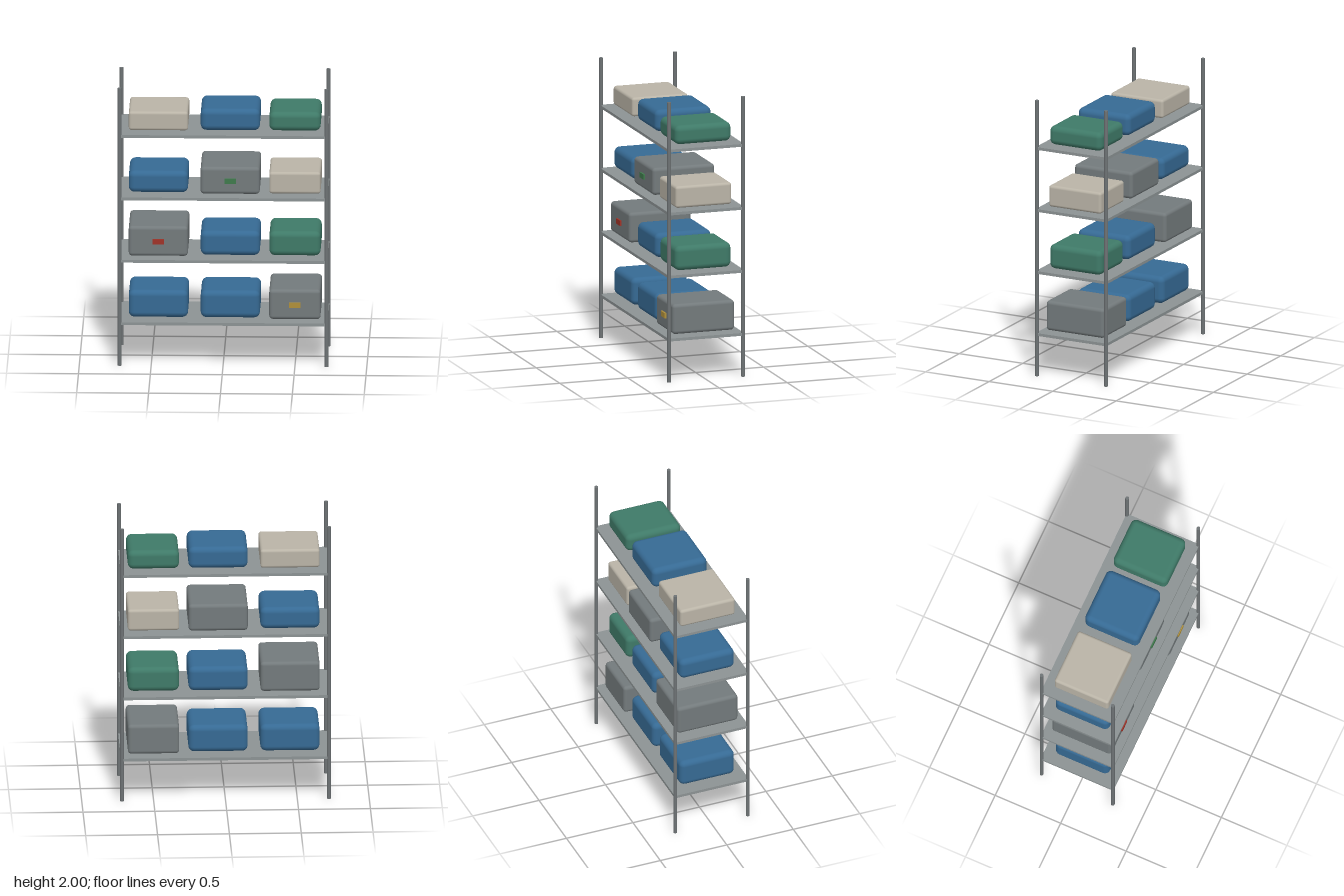
import * as THREE from 'three';
import { RoundedBoxGeometry } from 'three/addons/geometries/RoundedBoxGeometry.js';

const material = (color) => new THREE.MeshStandardMaterial({ color });

export function createModel() {
  const model = new THREE.Group();
  model.name = 'storageRack';

  const mats = {
    post: material(0x6f7476), shelf: material(0x8c9394),
    blue: material(0x366a94), green: material(0x3f7a68),
    beige: material(0xbab4a7), grey: material(0x737a7c),
    greenTag: material(0x3f7a4c), redTag: material(0xa03328), yellowTag: material(0xb0903a),
  };

  function add(name, geometry, mat, x, y, z, parent = model) {
    const mesh = new THREE.Mesh(geometry, mat);
    mesh.name = name;
    mesh.position.set(x, y, z);
    parent.add(mesh);
    return mesh;
  }

  // Four corner posts
  const postGeometry = new THREE.CylinderGeometry(0.014, 0.014, 2, 8);
  for (const x of [-0.72, 0.72])
    for (const z of [-0.272, 0.272])
      add('post', postGeometry, mats.post, x, 1, z);

  // Columns on each shelf: centre x and width
  const columns = [[-0.452, 0.412], [0.048, 0.412], [0.498, 0.357]];
  // Depth and edge radius of each kind of container
  const kinds = {
    blue: [0.412, 0.04], green: [0.412, 0.04], beige: [0.412, 0.02], grey: [0.456, 0.025],
  };
  // Contents of the shelves, bottom to top: kind, height, optional tag
  const rows = [
    [['blue', 0.195], ['blue', 0.195], ['grey', 0.214, 'yellowTag']],
    [['grey', 0.214, 'redTag'], ['blue', 0.175], ['green', 0.175]],
    [['blue', 0.155], ['grey', 0.194, 'greenTag'], ['beige', 0.155]],
    [['beige', 0.135], ['blue', 0.155], ['green', 0.135]],
  ];

  const shelfGeometry = new THREE.BoxGeometry(1.454, 0.02, 0.556);
  const tagGeometry = new THREE.BoxGeometry(0.08, 0.037, 0.02);

  rows.forEach((row, level) => {
    const shelfY = 0.302 + 0.45 * level;
    add('shelf', shelfGeometry, mats.shelf, 0, shelfY, 0);

    row.forEach(([kind, height, tag], i) => {
      const [x, width] = columns[i];
      const [depth, radius] = kinds[kind];
      const container = new THREE.Group();
      container.name = `${kind}Container`;
      container.position.set(x, shelfY + 0.023, 0);
      model.add(container);
      add('containerBody', new RoundedBoxGeometry(width, height, depth, 3, radius),
        mats[kind], 0, height / 2, 0, container);
      // Coloured tag on the front
      if (tag) add('tag', tagGeometry, mats[tag], 0, height / 2, 0.231, container);
    });
  });

  return model;
}
